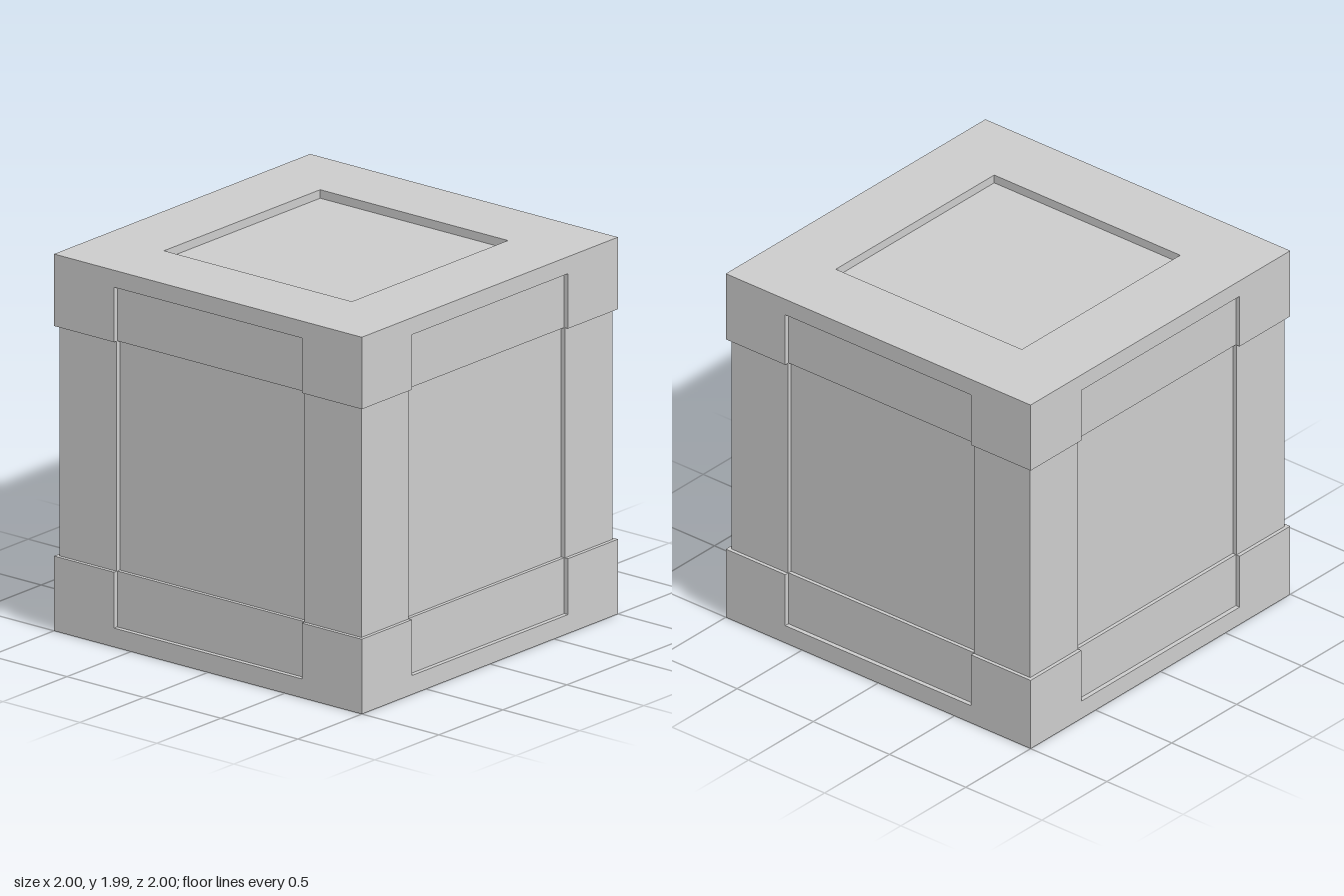
import * as THREE from 'three';

const material = new THREE.MeshStandardMaterial({ color: 0xcccccc, flatShading: true });
const PANEL = 0.61; // half width of every sunken panel
const HEIGHT = 1.99;
const INSET = 0.025; // depth of the side panels
const PIT = 0.045; // depth of the top and bottom panels

// Square outline; with an inset, the middle of each side steps inward
function outline(half, inset = 0) {
  const side = inset
    ? [[half, -half], [half, -PANEL], [half - inset, -PANEL], [half - inset, PANEL], [half, PANEL]]
    : [[half, -half]];
  const points = [];
  for (let i = 0; i < 4; i++) {
    for (const [x, y] of side) {
      points.push(new THREE.Vector2(x, y).rotateAround(new THREE.Vector2(), i * Math.PI / 2));
    }
  }
  return points;
}

// Horizontal slab from y0 to y1
function layer(name, points, y0, y1, hole) {
  const shape = new THREE.Shape(points);
  if (hole) shape.holes.push(new THREE.Path(hole));
  const geometry = new THREE.ExtrudeGeometry(shape, { depth: y1 - y0, bevelEnabled: false });
  geometry.rotateX(-Math.PI / 2);
  geometry.translate(0, y0, 0);
  const mesh = new THREE.Mesh(geometry, material);
  mesh.name = name;
  return mesh;
}

export function createModel() {
  const crate = new THREE.Group();
  crate.name = 'crate';
  const hole = outline(PANEL);

  // Rims around the square top and bottom recesses, with their sunken plates
  crate.add(layer('bottomRim', outline(1), 0, 0.1, hole));
  crate.add(layer('bottomPanel', hole, PIT, 0.1));
  crate.add(layer('topRim', outline(1), 1.9, HEIGHT, hole));
  crate.add(layer('topPanel', hole, 1.9, HEIGHT - PIT));

  // Wider bands and the slightly narrower body, all notched by the side panels
  crate.add(layer('lowerBand', outline(1, INSET), 0.1, 0.395));
  crate.add(layer('body', outline(0.98, INSET), 0.395, 1.61));
  crate.add(layer('upperBand', outline(1, INSET), 1.61, 1.9));
  return crate;
}
